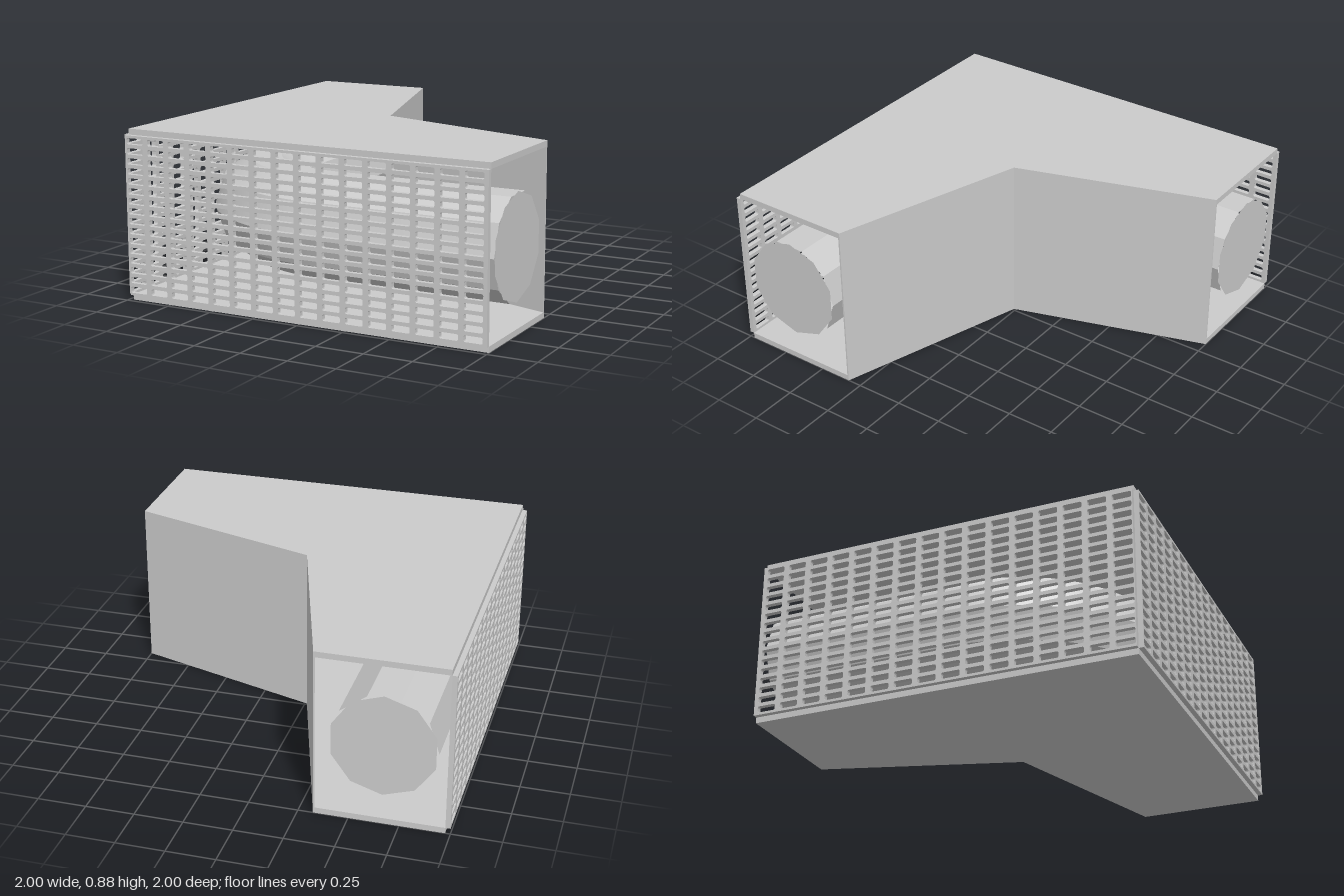
import * as THREE from 'three';
import { toCreasedNormals } from 'three/addons/utils/BufferGeometryUtils.js';

const H = 0.88;        // overall height
const T = 0.03;        // plate thickness
const G = 0.025;       // grille thickness
const PIPE_R = 0.267;
const PIPE_Y = 0.428;
const AXIS = 0.665;    // pipe offset from the centre, also the bend radius

// Floor outlines are given as [x, z] and extruded upwards
function slab(points, height) {
  const shape = new THREE.Shape(points.map(([x, z]) => new THREE.Vector2(x, -z)));
  const geo = new THREE.ExtrudeGeometry(shape, { depth: height, bevelEnabled: false });
  return geo.rotateX(-Math.PI / 2);
}

// Slot with small rounded corners
function slotPath(cx, cy, w, h, r) {
  const p = new THREE.Path();
  const x0 = cx - w / 2, x1 = cx + w / 2, y0 = cy - h / 2, y1 = cy + h / 2;
  p.moveTo(x0 + r, y0);
  p.lineTo(x1 - r, y0).quadraticCurveTo(x1, y0, x1, y0 + r);
  p.lineTo(x1, y1 - r).quadraticCurveTo(x1, y1, x1 - r, y1);
  p.lineTo(x0 + r, y1).quadraticCurveTo(x0, y1, x0, y1 - r);
  p.lineTo(x0, y0 + r).quadraticCurveTo(x0, y0, x0 + r, y0);
  return p;
}

// Slotted panel, centred in x; shift moves the slots along the panel
function grille(shift) {
  const half = (2 - G) / 2;
  const shape = new THREE.Shape([
    new THREE.Vector2(-half, T), new THREE.Vector2(half, T),
    new THREE.Vector2(half, H - T), new THREE.Vector2(-half, H - T),
  ]);
  for (let row = 0; row < 16; row++) {
    for (let col = 0; col < 16; col++) {
      const x = (col - 7.5) * 0.1236 + shift;
      const y = H / 2 + (row - 7.5) * 0.0508;
      shape.holes.push(slotPath(x, y, 0.096, 0.032, 0.008));
    }
  }
  return new THREE.ExtrudeGeometry(shape, { depth: G, bevelEnabled: false, curveSegments: 2 });
}

// Pipe centre line: straight, quarter bend, straight
class BendCurve extends THREE.Curve {
  getPoint(t, target = new THREE.Vector3()) {
    const arc = AXIS * Math.PI / 2;
    const s = t * (2 + arc);
    if (s <= 1) return target.set(1 - s, PIPE_Y, AXIS);
    if (s >= 1 + arc) return target.set(-AXIS, PIPE_Y, -(s - 1 - arc));
    const a = (s - 1) / AXIS;
    return target.set(-AXIS * Math.sin(a), PIPE_Y, AXIS * Math.cos(a));
  }
}

export function createModel() {
  const model = new THREE.Group();
  const grey = new THREE.MeshStandardMaterial({ color: 0xcccccc });
  const add = (name, geometry, parent = model) => {
    const mesh = new THREE.Mesh(geometry, grey);
    mesh.name = name;
    parent.add(mesh);
    return mesh;
  };

  // Top and bottom plates
  const e = 1 - G;
  const outline = [[-e, e], [1, e], [1, 0.325], [-0.01, 0.01], [-0.325, -1], [-e, -1]];
  add('bottomPlate', slab(outline, T));
  add('topPlate', slab(outline, T)).position.y = H - T;

  // Thin folded wall on the inside of the corner
  const wall = [[1, 0.325], [-0.01, 0.01], [-0.325, -1], [-0.333, -1], [-0.017, 0.017], [1, 0.333]];
  add('innerWall', slab(wall, H - 2 * T)).position.y = T;

  // Slotted panels on the two outer sides
  add('frontGrille', grille(-0.008)).position.set(G / 2, 0, e);
  const side = add('sideGrille', grille(0.008));
  side.rotation.y = -Math.PI / 2;
  side.position.set(-e, 0, -G / 2);

  // Ten-sided pipe with closed ends
  const pipe = new THREE.Group();
  pipe.name = 'pipe';
  model.add(pipe);
  const tube = new THREE.TubeGeometry(new BendCurve(), 48, PIPE_R, 10, false);
  add('pipeBody', toCreasedNormals(tube, 0.4), pipe);
  const cap = () => new THREE.CircleGeometry(PIPE_R, 10, Math.PI / 2);
  const capA = add('pipeEndLeft', cap(), pipe);
  capA.rotation.y = Math.PI / 2;
  capA.position.set(1, PIPE_Y, AXIS);
  const capB = add('pipeEndBack', cap(), pipe);
  capB.rotation.y = Math.PI;
  capB.position.set(-AXIS, PIPE_Y, -1);

  return model;
}
